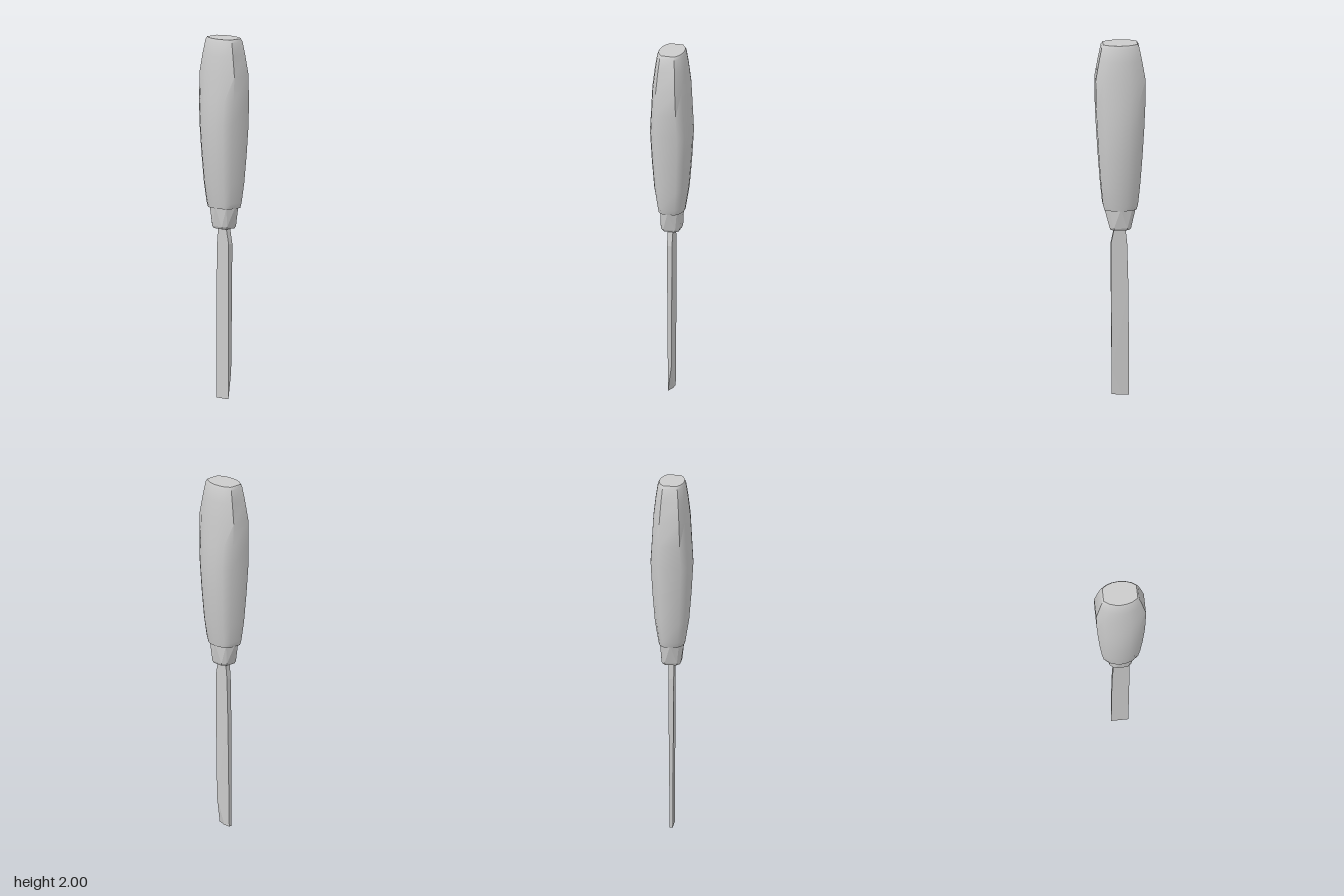
import * as THREE from 'three';
import { toCreasedNormals } from 'three/addons/utils/BufferGeometryUtils.js';
import { ConvexGeometry } from 'three/addons/geometries/ConvexGeometry.js';

const material = new THREE.MeshStandardMaterial({ color: 0xcccccc });

// Skin a unit outline [x, z] through sections [y, halfWidth, halfDepth], bottom to top, with end caps.
function loft(outline, sections) {
  const n = outline.length, positions = [], index = [];
  for (const [y, rx, rz] of sections) {
    for (const [x, z] of outline) positions.push(x * rx, y, z * rz);
  }
  for (let s = 0; s < sections.length - 1; s++) {
    for (let i = 0; i < n; i++) {
      const a = s * n + i, b = s * n + (i + 1) % n;
      index.push(a, b, b + n, a, b + n, a + n);
    }
  }
  const top = (sections.length - 1) * n;
  for (let i = 1; i < n - 1; i++) {
    index.push(0, i + 1, i, top, top + i, top + i + 1);
  }
  const geometry = new THREE.BufferGeometry();
  geometry.setAttribute('position', new THREE.Float32BufferAttribute(positions, 3));
  geometry.setIndex(index);
  return toCreasedNormals(geometry, 0.95);
}

// Faceted solid around a set of [x, y, z] points.
const hull = (points) => new ConvexGeometry(points.map((p) => new THREE.Vector3(...p)));

// Mirror points into all four quadrants of the x/z plane.
const mirror4 = (points) => points.flatMap(([x, y, z]) =>
  [[x, y, z], [-x, y, z], [x, y, -z], [-x, y, -z]]);

export function createModel() {
  const group = new THREE.Group();
  const add = (name, geometry) => {
    const mesh = new THREE.Mesh(geometry, material);
    mesh.name = name;
    group.add(mesh);
  };

  // Handle: flat front and back, bowed sides
  const side = [[0.53, 1], [0.81, 0.69], [0.95, 0.36], [1, 0], [0.95, -0.36], [0.81, -0.69], [0.53, -1]];
  const outline = [...side, ...side.map(([x, z]) => [-x, -z])];
  add('handle', loft(outline, [
    [1.06, 0.072, 0.088],
    [1.09, 0.077, 0.096],
    [1.2, 0.095, 0.107],
    [1.36, 0.108, 0.119],
    [1.53, 0.118, 0.129],
    [1.66, 0.11, 0.135],
    [1.8, 0.102, 0.137],
    [1.91, 0.089, 0.118],
    [1.985, 0.077, 0.103],
    [2, 0.07, 0.094],
  ]));

  // Ferrule: faceted taper from a rounded top to a squarish foot
  add('ferrule', hull(mirror4([
    [0, 1.07, 0.089], [0.046, 1.07, 0.066], [0.068, 1.07, 0],
    [0.034, 0.957, 0.059], [0.053, 0.957, 0.037],
    [0.029, 0.945, 0.053], [0.047, 0.945, 0.032],
  ])));

  // Blade: thin tapered bar, shoulders at the neck, slanted bevel on one corner of the tip
  add('blade', hull([
    [0.015, 0.97, 0.028], [-0.015, 0.97, 0.028], [0.015, 0.97, -0.028], [-0.015, 0.97, -0.028],
    [0.014, 0.86, 0.051], [-0.014, 0.86, 0.051], [0.014, 0.86, -0.039], [-0.014, 0.86, -0.039],
    [0.013, 0.6, 0.05], [-0.013, 0.6, 0.05], [0.013, 0.6, -0.046], [-0.013, 0.6, -0.046],
    [0.01, 0.15, 0.046], [-0.01, 0, 0.045],
    [0.007, 0, -0.01], [0.007, 0, -0.05], [-0.01, 0, -0.05],
  ]));

  return group;
}
